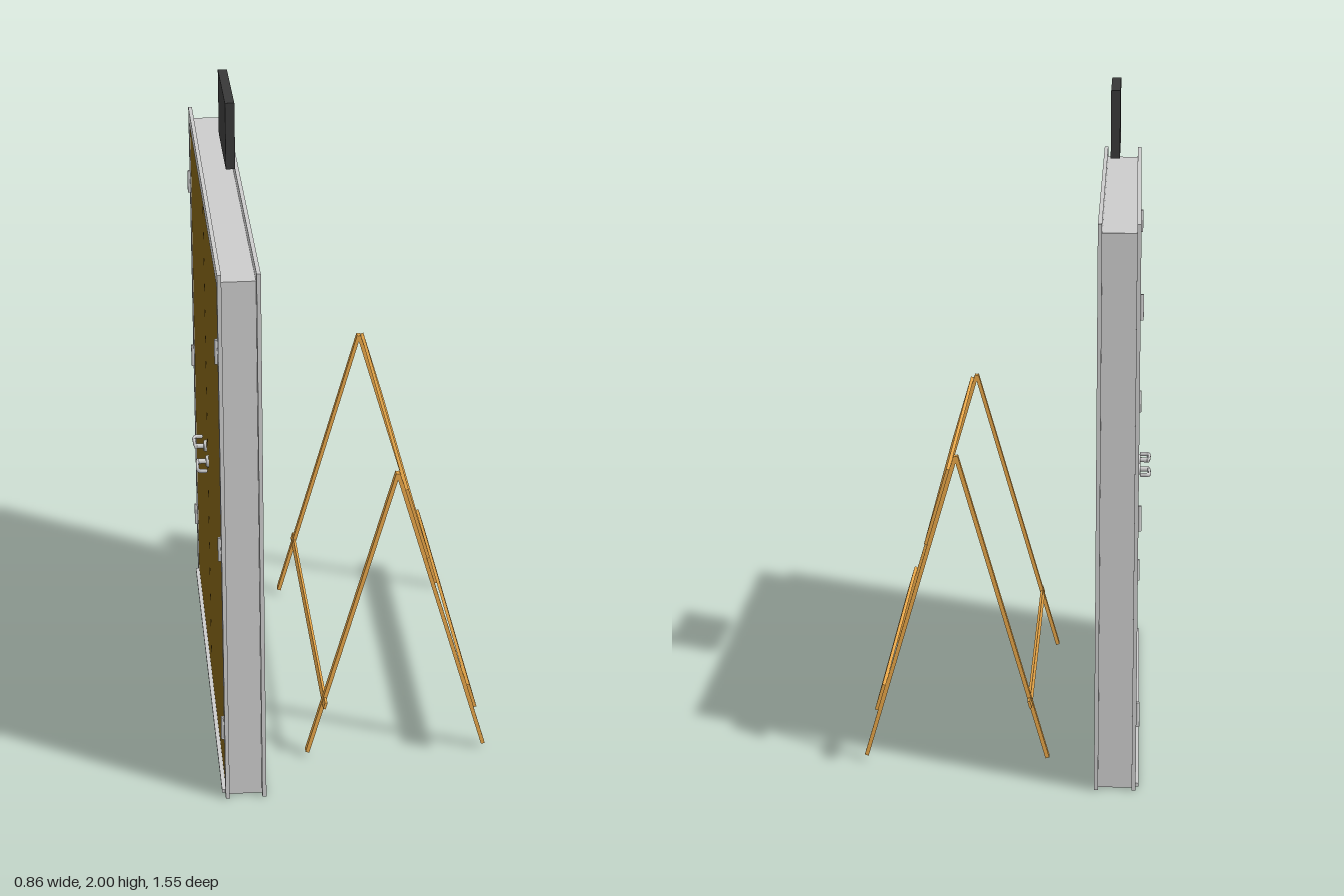
import * as THREE from 'three';

const mat = (color) => new THREE.MeshStandardMaterial({ color });

export function createModel() {
  const model = new THREE.Group();
  const steel = mat(0xcccccc), doorMat = mat(0x7a5c14), wood = mat(0xe6a548);
  const black = mat(0x383838), white = mat(0xf0f0f0);

  const add = (parent, name, geo, material, x = 0, y = 0, z = 0) => {
    const m = new THREE.Mesh(geo, material);
    m.name = name;
    m.position.set(x, y, z);
    parent.add(m);
    return m;
  };
  // Box given by its minimum and maximum on each axis
  const span = (parent, name, material, x0, x1, y0, y1, z0, z1) =>
    add(parent, name, new THREE.BoxGeometry(x1 - x0, y1 - y0, z1 - z0), material,
      (x0 + x1) / 2, (y0 + y1) / 2, (z0 + z1) / 2);

  // Door frame: upside-down U layers extruded along x
  const frame = new THREE.Group();
  frame.name = 'doorFrame';
  model.add(frame);
  const portal = (name, x0, x1, wIn, hIn, wOut, hOut) => {
    const s = new THREE.Shape([
      [-wOut, 0], [-wIn, 0], [-wIn, hIn], [wIn, hIn],
      [wIn, 0], [wOut, 0], [wOut, hOut], [-wOut, hOut],
    ].map(([a, b]) => new THREE.Vector2(a, b)));
    const g = new THREE.ExtrudeGeometry(s, { depth: x1 - x0, bevelEnabled: false });
    g.rotateY(Math.PI / 2);
    add(frame, name, g, steel, x0);
  };
  portal('backFlange', -0.396, -0.384, 0.74, 1.655, 0.775, 1.695);
  portal('jambWeb', -0.384, -0.285, 0.74, 1.655, 0.75, 1.665);
  portal('doorStop', -0.349, -0.31, 0.728, 1.643, 0.74, 1.655);
  portal('frontFlange', -0.285, -0.273, 0.74, 1.655, 0.775, 1.695);
  span(frame, 'sill', steel, -0.405, -0.273, 0, 0.01, -0.74, 0.74);

  // Lever handle in local space: +x leaves the door, +z runs along the lever
  const lever = () => {
    const g = new THREE.Group();
    g.name = 'leverHandle';
    const rose = new THREE.CylinderGeometry(0.017, 0.02, 0.009, 24).rotateZ(-Math.PI / 2);
    add(g, 'rose', rose, steel, 0.0045);
    add(g, 'spindle', new THREE.CylinderGeometry(0.008, 0.008, 0.03, 16).rotateZ(Math.PI / 2), steel, 0.02);
    const path = new THREE.CatmullRomCurve3([
      [0.034, 0, -0.006], [0.036, 0, 0.012], [0.037, 0, 0.04],
      [0.037, 0, 0.06], [0.032, 0, 0.071], [0.012, 0, 0.073],
    ].map((p) => new THREE.Vector3(...p)));
    const bar = new THREE.TubeGeometry(path, 32, 0.005, 10);
    add(g, 'lever', bar.scale(1, 1.4, 1), steel);
    for (const t of [0, 1]) {
      const p = path.getPoint(t);
      add(g, 'leverEnd', new THREE.SphereGeometry(0.005, 10, 8).scale(1, 1.4, 1), steel, p.x, p.y, p.z);
    }
    return g;
  };

  // Pair of door leaves with handles on both faces and three hinges each
  for (const s of [1, -1]) {
    const door = new THREE.Group();
    door.name = s > 0 ? 'leftDoor' : 'rightDoor';
    model.add(door);
    add(door, 'doorLeaf', new THREE.BoxGeometry(0.043, 1.636, 0.733), doorMat, -0.3715, 0.832, s * 0.3705);
    for (const [x, dir] of [[-0.35, 1], [-0.393, -1]]) {
      const h = lever();
      h.position.set(x, 0.795, s * 0.058);
      // Turn about y or x so every lever points away from the meeting edge
      if (dir < 0) h.rotation.y = Math.PI;
      if (dir * s < 0) h.children.forEach((c) => { c.rotation.x = Math.PI; c.position.z *= -1; });
      door.add(h);
    }
    for (const y of [0.225, 0.825, 1.45]) {
      add(door, 'hingeKnuckle', new THREE.CylinderGeometry(0.006, 0.006, 0.075, 12), steel, -0.399, y, s * 0.737);
      add(door, 'hingeLeaf', new THREE.BoxGeometry(0.004, 0.07, 0.02), steel, -0.3945, y, s * 0.735);
    }
  }

  // A-frame barricade: each side hangs from the ridge and leans outward
  const barricade = new THREE.Group();
  barricade.name = 'barricade';
  model.add(barricade);
  const lean = 0.284;
  const side = (name, sign) => {
    const g = new THREE.Group();
    g.name = name;
    g.position.set(0.147 + sign * 0.001, 0.955, 0);
    g.rotation.z = sign * lean;
    barricade.add(g);
    for (const z of [0.545, -0.545])
      add(g, 'leg', new THREE.BoxGeometry(0.012, 0.98, 0.023), wood, 0, -0.488, z);
    return g;
  };
  const front = side('frontSide', 1);
  add(front, 'topBoard', new THREE.BoxGeometry(0.01, 0.24, 1.23), wood, 0.011, -0.146, 0);
  add(front, 'lowerBoard', new THREE.BoxGeometry(0.01, 0.083, 1.23), wood, 0.011, -0.766, 0);
  const back = side('backSide', -1);
  add(back, 'braceRail', new THREE.BoxGeometry(0.008, 0.022, 1.18), wood, 0, -0.79, 0);

  // Hanging sign: dark case with a recessed pale panel
  const sign = new THREE.Group();
  sign.name = 'sign';
  model.add(sign);
  span(sign, 'signBack', black, -0.33, -0.312, 1.795, 2, -0.181, 0.16);
  span(sign, 'signPanel', white, -0.312, -0.306, 1.803, 1.992, -0.17, 0.149);
  for (const [y0, y1] of [[1.795, 1.803], [1.992, 2]])
    span(sign, 'signRim', black, -0.312, -0.302, y0, y1, -0.181, 0.16);
  for (const [z0, z1] of [[-0.181, -0.17], [0.149, 0.16]])
    span(sign, 'signRim', black, -0.312, -0.302, 1.803, 1.992, z0, z1);

  return model;
}
